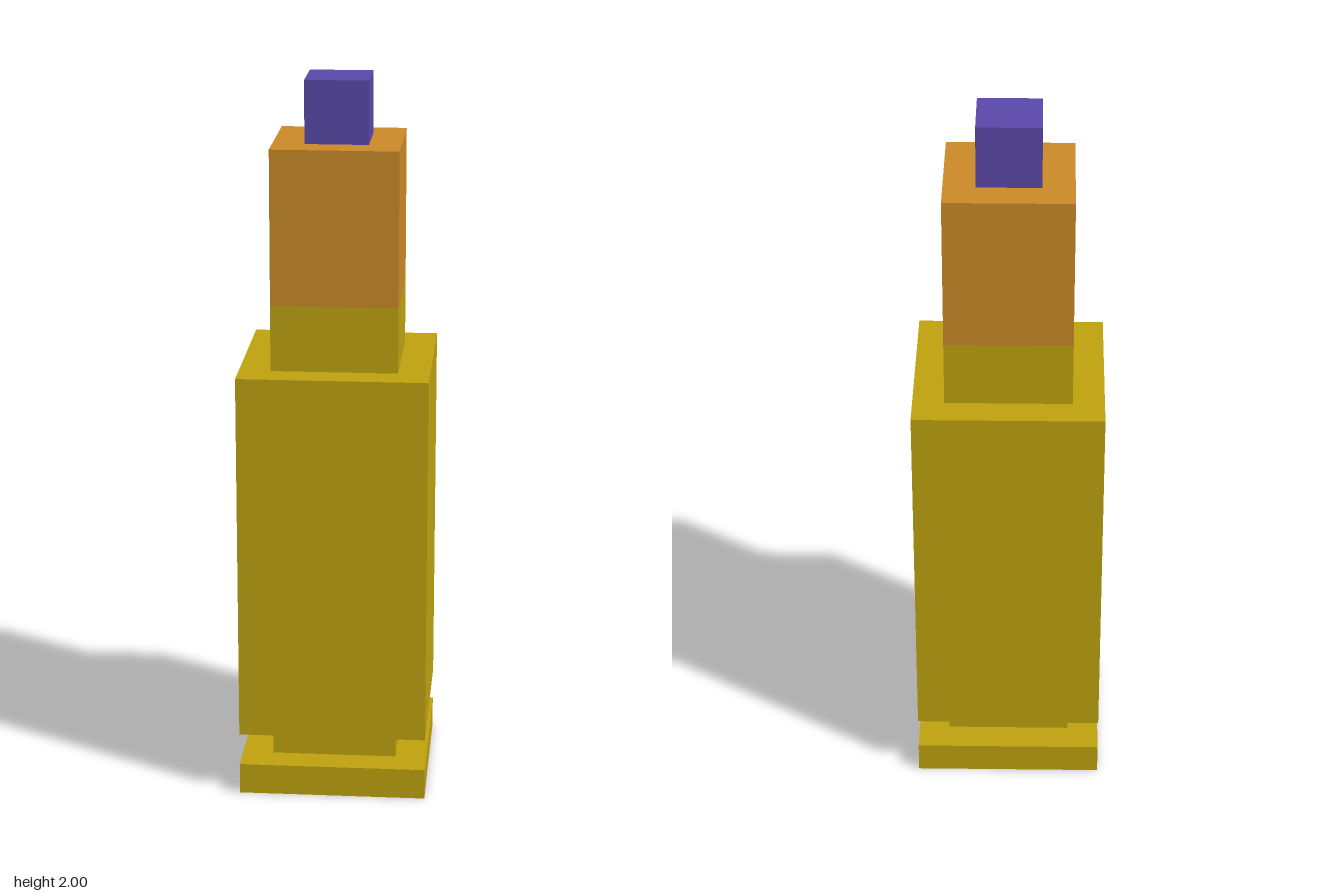
import * as THREE from 'three';

const BRASS = 0xbfa30f, COPPER = 0xcb8a27, PURPLE = 0x5a49aa, GREY = 0xcccccc;

export function createModel() {
  const model = new THREE.Group();
  model.name = 'cartridge';

  const add = (name, geometry, color, y) => {
    const mesh = new THREE.Mesh(geometry, new THREE.MeshStandardMaterial({ color }));
    mesh.name = name;
    mesh.position.y = y;
    model.add(mesh);
    return mesh;
  };

  // Square block of the given width between two heights
  const block = (name, width, y0, y1, color) =>
    add(name, new THREE.BoxGeometry(width, y1 - y0, width), color, (y0 + y1) / 2);

  const square = (Type, w) => new Type([[-1, -1], [1, -1], [1, 1], [-1, 1]]
    .map(([x, y]) => new THREE.Vector2(x * w / 2, y * w / 2)));

  // Rim plate with a square pocket for the flush primer
  const rimShape = square(THREE.Shape, 0.522);
  rimShape.holes.push(square(THREE.Path, 0.174));
  const rim = new THREE.ExtrudeGeometry(rimShape, { depth: 0.087, bevelEnabled: false });
  rim.rotateX(-Math.PI / 2);
  add('rim', rim, BRASS, 0);
  block('primer', 0.174, 0, 0.087, GREY);

  // Case
  block('extractorGroove', 0.348, 0.087, 0.178, BRASS);
  block('caseBody', 0.522, 0.178, 1.217, BRASS);
  block('caseNeck', 0.348, 1.217, 1.4, BRASS);

  // Projectile and coloured tip
  block('projectile', 0.348, 1.4, 1.827, COPPER);
  block('tip', 0.174, 1.827, 2, PURPLE);

  return model;
}
